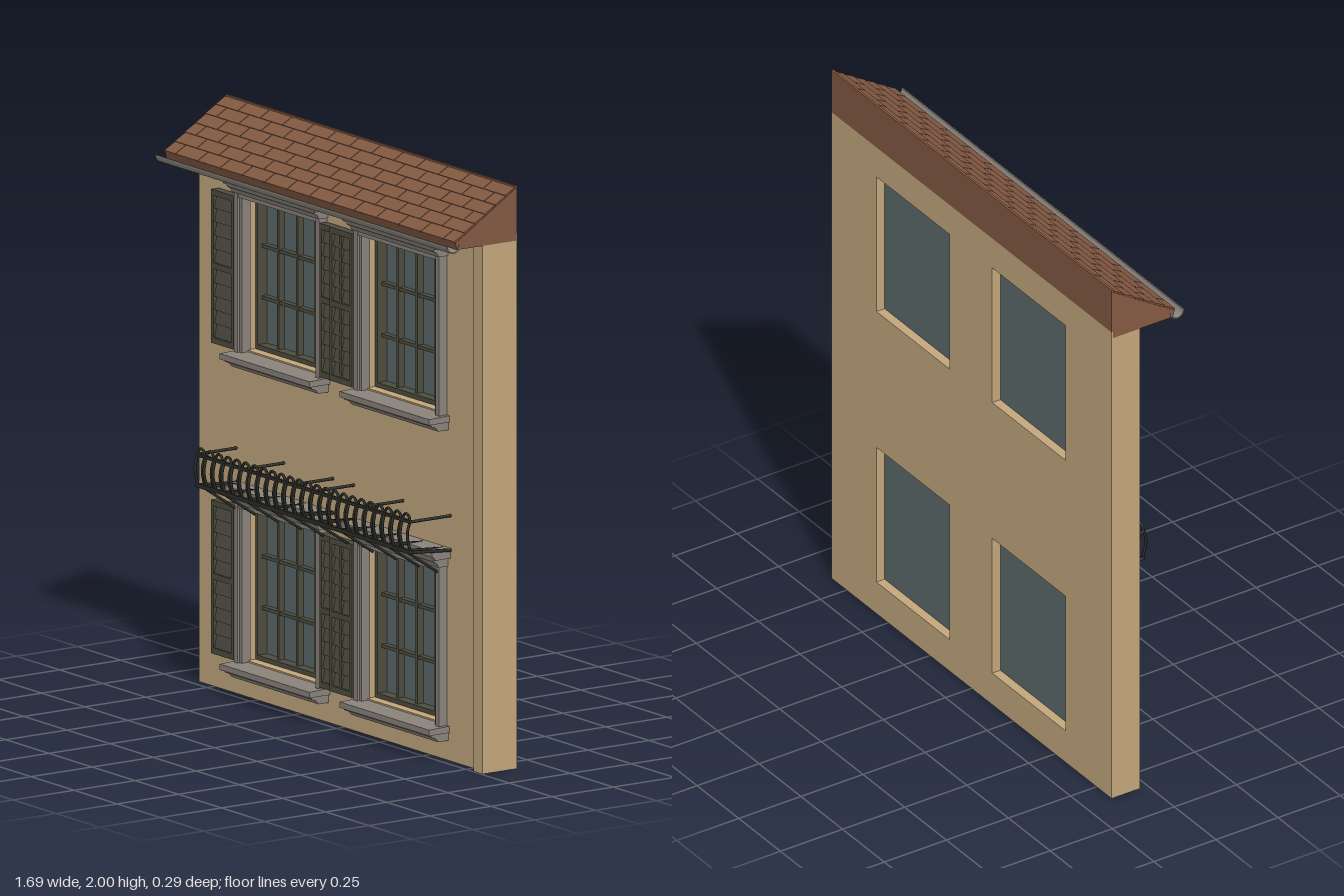
import * as THREE from 'three';

const mat = (name, color) => {
  const m = new THREE.MeshStandardMaterial({ color });
  m.name = name;
  return m;
};

export function createModel() {
  const plaster = mat('ochre plaster', 0xc2a67c);
  const stone = mat('grey stone', 0x89827a);
  const tileMat = mat('terracotta tile', 0x835942);
  const wood = mat('olive wood', 0x4d4c3f);
  const glassMat = mat('window glass', 0x5c6969);
  const iron = mat('wrought iron', 0x2b2c27);
  const gutterMat = mat('gutter metal', 0x8c867e);

  const model = new THREE.Group();
  model.name = 'townhouseFacade';

  const add = (parent, name, geo, material) => {
    const mesh = new THREE.Mesh(geo, material);
    mesh.name = name;
    parent.add(mesh);
    return mesh;
  };
  // Box given by its limits
  const box = (parent, name, material, x0, x1, y0, y1, z0, z1) => {
    const m = add(parent, name, new THREE.BoxGeometry(x1 - x0, y1 - y0, z1 - z0), material);
    m.position.set((x0 + x1) / 2, (y0 + y1) / 2, (z0 + z1) / 2);
    return m;
  };
  // Moulding: a [z, y] profile swept along x
  const moulding = (parent, name, material, pts, width) => {
    const shape = new THREE.Shape(pts.map(([z, y]) => new THREE.Vector2(z, y)));
    const geo = new THREE.ExtrudeGeometry(shape, { depth: width, bevelEnabled: false });
    geo.rotateY(-Math.PI / 2).translate(width / 2, 0, 0);
    return add(parent, name, geo, material);
  };
  // Round iron bar through points
  const bar = (parent, name, pts, r) => {
    const curve = new THREE.CatmullRomCurve3(pts.map(p => new THREE.Vector3(...p)));
    const segs = pts.length === 2 ? 1 : pts.length * 2;
    return add(parent, name, new THREE.TubeGeometry(curve, segs, r, 6), iron);
  };

  const W = 0.84, HALF = 0.2195, OPEN_H = 0.53, FACE = -0.03;
  const floors = [0.124, 1.189], centres = [-0.343, 0.351];

  // Wall with four openings, and the projecting corner strip
  const wall = new THREE.Shape([[-W, 0], [0.79, 0], [0.79, 1.835], [-W, 1.835]].map(p => new THREE.Vector2(...p)));
  for (const y of floors) for (const cx of centres) {
    const x0 = cx - HALF, x1 = cx + HALF;
    wall.holes.push(new THREE.Path([[x0, y], [x0, y + OPEN_H], [x1, y + OPEN_H], [x1, y]].map(p => new THREE.Vector2(...p))));
  }
  const wallGeo = new THREE.ExtrudeGeometry(wall, { depth: 0.145 + FACE, bevelEnabled: false });
  add(model, 'wall', wallGeo.translate(0, 0, -0.145), plaster);
  box(model, 'cornerStrip', plaster, 0.79, W, 0, 1.835, -0.145, -0.004);

  // Window: glazing, bars, stone surround
  const makeWindow = (cx, y) => {
    const g = new THREE.Group();
    g.name = 'window';
    g.position.set(cx, y, 0);
    model.add(g);
    box(g, 'glass', glassMat, -HALF, HALF, 0, OPEN_H, -0.112, -0.104);
    for (const s of [-1, 1]) {
      const side = (name, material, a, b, y0, y1, z0, z1) =>
        box(g, name, material, Math.min(s * a, s * b), Math.max(s * a, s * b), y0, y1, z0, z1);
      side('frameSide', wood, HALF - 0.014, HALF, 0, OPEN_H, -0.104, -0.065);
      side('casing', stone, 0.213, 0.247, -0.008, OPEN_H + 0.015, -0.04, -0.006);
      side('casingBead', stone, 0.226, 0.247, -0.008, OPEN_H + 0.015, -0.006, 0.003);
    }
    box(g, 'frameBottom', wood, -HALF, HALF, 0, 0.016, -0.104, -0.065);
    box(g, 'frameTop', wood, -HALF, HALF, OPEN_H - 0.016, OPEN_H, -0.104, -0.065);
    for (const x of [-0.11, 0, 0.11]) box(g, 'uprightBar', wood, x - 0.006, x + 0.006, 0, OPEN_H, -0.104, -0.08);
    for (const h of [0.176, 0.353]) box(g, 'crossBar', wood, -HALF, HALF, h - 0.006, h + 0.006, -0.104, -0.082);
    // Sill
    moulding(g, 'sill', stone, [[-0.065, -0.028], [0.054, -0.028], [0.054, -0.008], [-0.065, -0.004]], 0.52).position.x = 0.003;
    moulding(g, 'sillUnderside', stone, [[-0.04, -0.056], [0.012, -0.056], [0.02, -0.045], [0.04, -0.036], [0.042, -0.028], [-0.04, -0.028]], 0.505).position.x = 0.003;
    // Lintel
    moulding(g, 'lintelCrown', stone, [[-0.04, 0.571], [0.032, 0.571], [0.038, 0.581], [0.046, 0.584], [0.046, 0.606], [-0.04, 0.606]], 0.535);
    moulding(g, 'lintelBase', stone, [[-0.04, 0.541], [0.008, 0.541], [0.014, 0.554], [0.028, 0.563], [0.03, 0.571], [-0.04, 0.571]], 0.505);
    box(g, 'lintelFascia', stone, -0.247, 0.247, OPEN_H - 0.004, 0.543, -0.04, 0);
  };

  // Louvred shutter
  const makeShutter = (x, y, z) => {
    const g = new THREE.Group();
    g.name = 'shutter';
    g.position.set(x, y, z);
    model.add(g);
    const w = 0.13, h = 0.527, back = FACE + 0.004;
    box(g, 'panel', wood, 0.01, w - 0.01, 0.01, h - 0.01, back, -0.012);
    box(g, 'stile', wood, 0, 0.014, 0, h, back, 0.004);
    box(g, 'stile', wood, w - 0.014, w, 0, h, back, 0.004);
    for (const ry of [0, 0.256, h - 0.02]) box(g, 'rail', wood, 0, w, ry, ry + 0.02, back, 0.004);
    for (const base of [0.02, 0.276]) for (let i = 0; i < 5; i++) {
      const sy = base + (i + 0.5) * 0.0465;
      box(g, 'louvre', wood, 0.012, w - 0.012, sy - 0.023, sy + 0.023, -0.009, -0.005).rotation.x = -0.22;
    }
  };

  for (const y of floors) {
    for (const cx of centres) makeWindow(cx, y);
    makeShutter(-0.721, y, 0);
    makeShutter(-0.094, y, 0);
    makeShutter(-0.029, y, 0.003);
  }

  // Roof body
  moulding(model, 'roofBody', tileMat, [[-0.14, 1.812], [0.1, 1.812], [0.108, 1.835], [-0.14, 1.992]], 2 * W + 0.004);
  box(model, 'ridgeCap', tileMat, -W, W, 1.835, 2, -0.145, -0.137);

  // Staggered roof tiles
  const tiles = new THREE.Group();
  tiles.name = 'roofTiles';
  model.add(tiles);
  const slope = Math.atan2(0.158, 0.251), rows = 6, pitch = 0.297 / rows, tileW = 2 * W / 13;
  for (let r = 0; r < rows; r++) {
    const d = (r + 0.5) * pitch;
    const y = 1.993 - Math.sin(slope) * d + 0.002, z = -0.143 + Math.cos(slope) * d + 0.001;
    for (let c = 0; c <= 13; c++) {
      const start = -W + (c - (r % 2) / 2) * tileW;
      const x0 = Math.max(-W, start + 0.0015), x1 = Math.min(W, start + tileW - 0.0015);
      if (x1 - x0 < 0.01) continue;
      const t = add(tiles, 'tile', new THREE.BoxGeometry(x1 - x0, 0.006, pitch), tileMat);
      t.position.set((x0 + x1) / 2, y, z);
      t.rotation.x = slope - 0.05;
    }
  }

  // Half-round gutter
  const trough = [];
  for (let i = 0; i <= 12; i++) {
    const a = Math.PI * (1 + i / 12);
    trough.push([0.117 + 0.028 * Math.cos(a), 1.829 + 0.028 * Math.sin(a)]);
  }
  for (let i = 12; i >= 0; i--) {
    const a = Math.PI * (1 + i / 12);
    trough.push([0.117 + 0.024 * Math.cos(a), 1.829 + 0.024 * Math.sin(a)]);
  }
  moulding(model, 'gutter', gutterMat, trough, 1.69);

  // Iron railing
  const rail = new THREE.Group();
  rail.name = 'railing';
  model.add(rail);
  const R = 0.62, n = 24, step = 2 * R / n;
  box(rail, 'topRail', iron, -R, R, 0.836, 0.847, 0.128, 0.138);
  box(rail, 'bottomRail', iron, -R, R, 0.73, 0.744, 0.126, 0.138);
  // Bellied hoops: up one leg, over the arch, down the other
  const leg = [[0.738, 0.131], [0.76, 0.138], [0.79, 0.144], [0.815, 0.142], [0.843, 0.134]];
  for (let i = 0; i < n; i++) {
    const x = -R + (i + 0.5) * step, h = step / 2 - 0.005;
    const up = leg.map(([y, z]) => [x - h, y, z]);
    const down = leg.map(([y, z]) => [x + h, y, z]).reverse();
    bar(rail, 'hoop', [...up, [x - h * 0.7, 0.859, 0.133], [x, 0.866, 0.133], [x + h * 0.7, 0.859, 0.133], ...down], 0.005);
  }
  // Ties back to the wall
  for (const x of [-R, -0.345, -0.06, 0.06, 0.345, R]) {
    bar(rail, 'topTie', [[x, 0.842, 0.133], [x, 0.842, FACE]], 0.0055);
    bar(rail, 'bottomTie', [[x, 0.737, 0.131], [x, 0.724, FACE]], 0.006);
  }
  // Floor bars and diagonal braces
  for (const s of [-1, 1]) for (const x of [0.072, 0.208, 0.343, 0.475, 0.587]) {
    bar(rail, 'brace', [[s * x, 0.735, 0.131], [s * x, 0.645, -0.002]], 0.005);
    bar(rail, 'floorBar', [[s * x, 0.737, 0.131], [s * x, 0.724, FACE]], 0.006);
  }

  return model;
}
